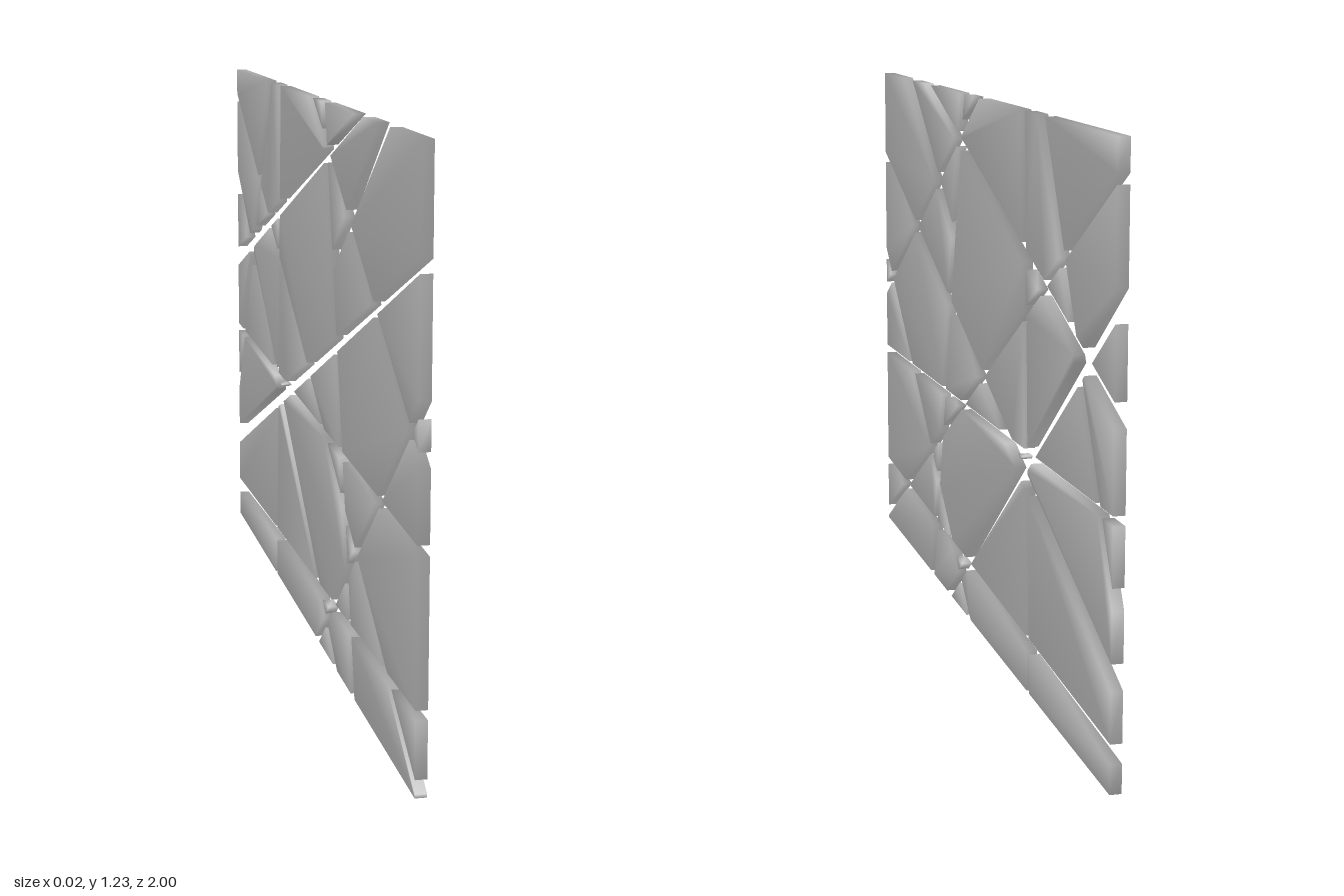
import * as THREE from 'three';
import { mergeVertices } from 'three/addons/utils/BufferGeometryUtils.js';

const HEIGHT = 1.23, THICK = 0.024;

// Gaps across the panel: start (u, v), end (u, v), width at start and end; u = -z, v = y
const STEEP = [-0.142, 1.23, -0.46, 0, 0.042, 0.036];
const SHORT = [-0.71, 1.23, -0.243, 0.9, 0.06, 0.04];
const GAPS = [
  [-1, 1.005, 1, 0.23, 0.025, 0.05],
  [-0.495, 1.23, 1, 0.727, 0.025, 0.048],
  [-1, 0.65, -0.01, 1.23, 0.027, 0.027],
  [-1, 0.743, -0.085, 0, 0.025, 0.025],
  [-0.28, 0, 1, 0.927, 0.027, 0.052],
  [-1, 0.48, 1, 0.53, 0.022, 0.02],
  [-1, 0.022, 1, 1.155, 0.025, 0.018],
  [-1, 0.163, 1, 0.08, 0.02, 0.04],
  [0.375, 1.23, 0.435, 0, 0.036, 0.02],
  [0.51, 1.23, 1, 0.38, 0.052, 0.022],
];

// Keep the part of a convex polygon on the left of the line a -> b
function clip(poly, a, b) {
  const dir = b.clone().sub(a);
  const side = p => dir.cross(p.clone().sub(a));
  const out = [];
  poly.forEach((p, i) => {
    const q = poly[(i + 1) % poly.length], sp = side(p), sq = side(q);
    if (sp >= 0) out.push(p);
    if (sp * sq < 0) out.push(p.clone().lerp(q, sp / (sp - sq)));
  });
  return out;
}

// Split a polygon into the pieces on both sides of a tapered gap
function split(poly, [x0, y0, x1, y1, w0, w1]) {
  const p = new THREE.Vector2(x0, y0), q = new THREE.Vector2(x1, y1);
  const d = q.clone().sub(p).normalize();
  const n = new THREE.Vector2(-d.y, d.x);
  const edge = s => [p.clone().addScaledVector(n, s * w0 / 2), q.clone().addScaledVector(n, s * w1 / 2)];
  const [a, b] = edge(1), [c, e] = edge(-1);
  return [clip(poly, a, b), clip(poly, e, c)]
    .filter(r => r.length > 2 && Math.abs(THREE.ShapeUtils.area(r)) > 1e-4);
}

// Thin plate in the yz plane, with normals shared across its edges
function shardGeometry(poly) {
  const plate = new THREE.ExtrudeGeometry(new THREE.Shape(poly), { depth: THICK, bevelEnabled: false });
  plate.translate(0, 0, -THICK / 2).rotateY(Math.PI / 2);
  plate.deleteAttribute('normal');
  plate.deleteAttribute('uv');
  const geometry = mergeVertices(plate, 1e-5);
  geometry.computeVertexNormals();
  return geometry;
}

export function createModel() {
  const group = new THREE.Group();
  group.name = 'shatteredPanel';
  const material = new THREE.MeshStandardMaterial({ color: 0xcccccc });

  const panel = [[-1, 0], [1, 0], [1, HEIGHT], [-1, HEIGHT]].map(([u, v]) => new THREE.Vector2(u, v));

  // The short gap stops at the steep one
  const [right, left] = split(panel, STEEP);
  const meanU = poly => poly.reduce((s, p) => s + p.x, 0) / poly.length;
  const [low, high] = meanU(right) < meanU(left) ? [right, left] : [left, right];
  let pieces = [high];
  // Its lower stretch would run on past the steep gap, so part the plate only above the short gap's end
  pieces.push(...split(low, SHORT));

  for (const gap of GAPS) pieces = pieces.flatMap(poly => split(poly, gap));

  pieces.forEach((poly, i) => {
    const shard = new THREE.Mesh(shardGeometry(poly), material);
    shard.name = `shard${i + 1}`;
    group.add(shard);
  });
  return group;
}
